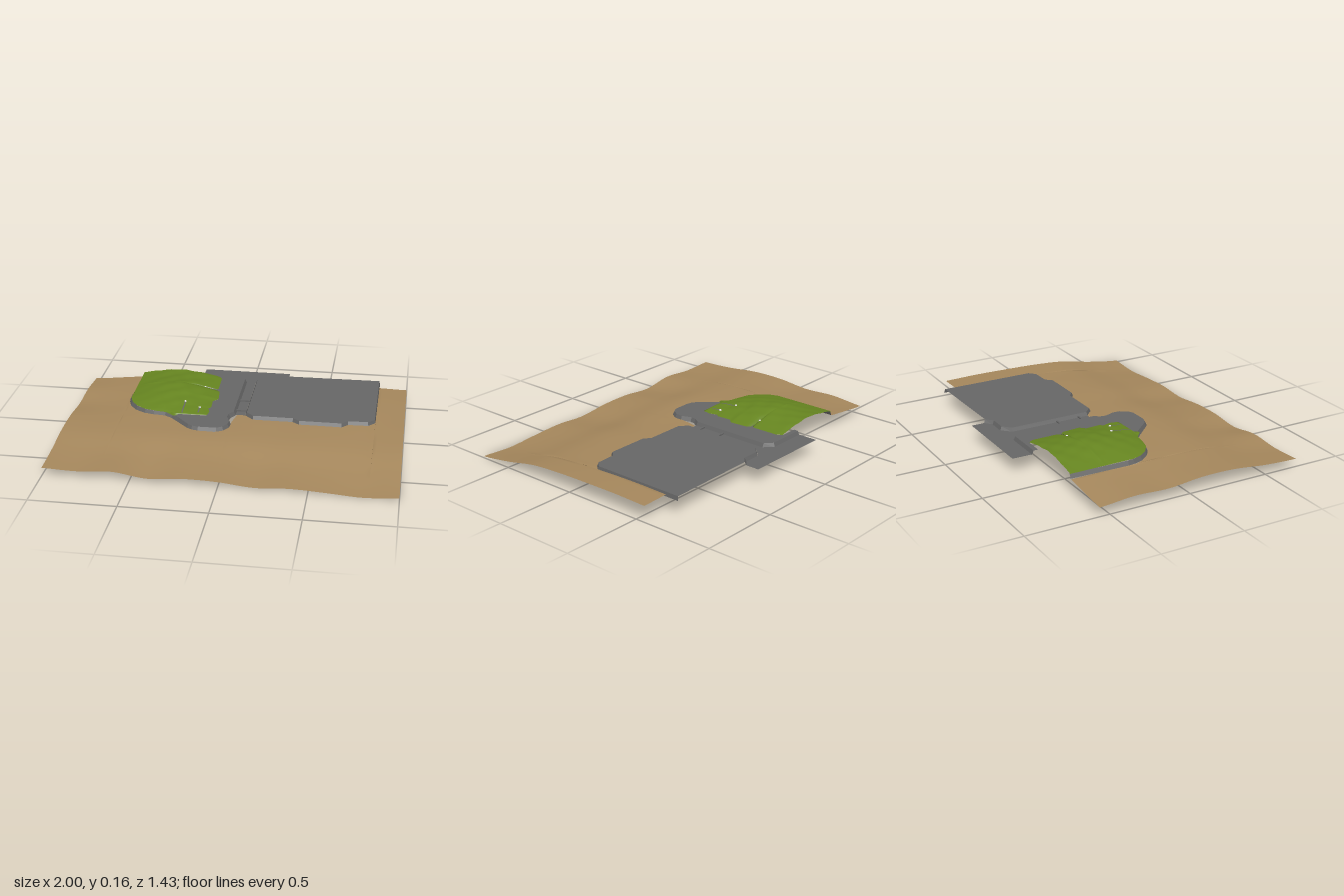
import * as THREE from 'three';

const mat = (name, color) => {
  const m = new THREE.MeshStandardMaterial({ color, side: THREE.DoubleSide });
  m.name = name;
  return m;
};

// piecewise-linear lookup through [key, value] pairs
function lerpTable(table, k) {
  if (k <= table[0][0]) return table[0][1];
  for (let i = 1; i < table.length; i++) {
    const [k0, v0] = table[i - 1], [k1, v1] = table[i];
    if (k <= k1) return v0 + (v1 - v0) * (k - k0) / (k1 - k0);
  }
  return table[table.length - 1][1];
}

// upward-facing surface from a grid of points; i runs along x, j along z
function gridSurface(ni, nj, point) {
  const pos = [], idx = [];
  for (let i = 0; i <= ni; i++) for (let j = 0; j <= nj; j++) pos.push(...point(i, j));
  for (let i = 0; i < ni; i++) for (let j = 0; j < nj; j++) {
    const a = i * (nj + 1) + j, c = a + nj + 1;
    idx.push(a, a + 1, c, c, a + 1, c + 1);
  }
  const g = new THREE.BufferGeometry();
  g.setAttribute('position', new THREE.Float32BufferAttribute(pos, 3));
  g.setIndex(idx);
  g.computeVertexNormals();
  return g;
}

// flat horizontal plate from [x, z] points
function plate(points, y) {
  const s = new THREE.Shape(points.map(([x, z]) => new THREE.Vector2(x, -z)));
  return new THREE.ShapeGeometry(s).rotateX(-Math.PI / 2).translate(0, y, 0);
}

// move an open path inwards by d
function inset(path, d) {
  return path.map((p, i) => {
    const a = path[Math.max(i - 1, 0)], b = path[Math.min(i + 1, path.length - 1)];
    const dx = b[0] - a[0], dz = b[1] - a[1], l = Math.hypot(dx, dz);
    return [p[0] - dz / l * d, p[1] + dx / l * d];
  });
}

// sloping band between an upper and a lower path
function skirt(top, bottom, yTop, yBottom) {
  const pos = [];
  for (let i = 0; i < top.length - 1; i++) {
    const a = [top[i][0], yTop, top[i][1]], b = [top[i + 1][0], yTop, top[i + 1][1]];
    const c = [bottom[i][0], yBottom, bottom[i][1]], d = [bottom[i + 1][0], yBottom, bottom[i + 1][1]];
    pos.push(...a, ...b, ...c, ...b, ...d, ...c);
  }
  const g = new THREE.BufferGeometry();
  g.setAttribute('position', new THREE.Float32BufferAttribute(pos, 3));
  g.computeVertexNormals();
  return g;
}

// ground heights, rows from back to front, columns from x = -1 to 1
const HEIGHTS = [
  [.055, .075, .096, .098, .097, .095, .095, .095, .097, .102, .098],
  [.072, .080, .096, .097, .096, .095, .095, .096, .098, .104, .102],
  [.065, .076, .093, .095, .095, .095, .095, .095, .097, .100, .100],
  [.084, .084, .093, .095, .095, .094, .092, .094, .093, .090, .095],
  [.082, .082, .086, .090, .091, .086, .078, .082, .077, .072, .080],
  [.060, .056, .060, .050, .058, .050, .034, .042, .036, .030, .040],
  [.050, .043, .055, .027, .041, .036, .016, .025, .015, .002, .012],
];
function cubic(v, t) {
  const n = v.length - 1, i = Math.min(Math.floor(t), n - 1), f = t - i;
  const a = v[Math.max(i - 1, 0)], b = v[i], c = v[i + 1], d = v[Math.min(i + 2, n)];
  return b + 0.5 * f * (c - a + f * (2 * a - 5 * b + 4 * c - d + f * (3 * (b - c) + d - a)));
}
const groundHeight = (x, z) =>
  Math.max(0, cubic(HEIGHTS.map(r => cubic(r, (x + 1) * 5)), (z + 0.56) / 1.27 * 6));

// back limit of the sand: it stops where the slabs begin
const SAND_EDGE = [
  [-1, -.56], [-.686, -.56], [-.685, -.16], [-.665, -.10], [-.62, -.04], [-.56, .0], [-.5, .015],
  [-.43, .022], [-.39, .045], [-.345, .09], [-.27, .17], [-.235, .192], [-.19, .2], [-.1, .2], [-.06, .18],
  [-.025, .12], [-.02, .05], [0, -.05], [.05, -.05], [.1, 0], [.34, 0], [.38, .03], [.635, .03],
  [.67, -.005], [.79, -.01], [.829, -.05], [.83, -.56], [1, -.56],
];

export function createModel() {
  const model = new THREE.Group();
  const sand = mat('sand', 0xa5875c), concrete = mat('concrete', 0x666666);
  const grass = mat('grass', 0x668520), white = mat('white', 0xe8e8e8);
  const add = (name, geometry, material, parent = model) => {
    const m = new THREE.Mesh(geometry, material);
    m.name = name;
    parent.add(m);
    return m;
  };

  // rolling sand
  const xs = SAND_EDGE.map(p => p[0]);
  for (let i = 1; i < 80; i++) {
    const x = -1 + i / 40;
    if (xs.every(v => Math.abs(v - x) > 0.006)) xs.push(x);
  }
  xs.sort((a, b) => a - b);
  add('sandGround', gridSurface(xs.length - 1, 44, (i, j) => {
    const x = xs[i], z0 = lerpTable(SAND_EDGE, x), z = z0 + (0.71 - z0) * j / 44;
    return [x, groundHeight(x, z), z];
  }), sand);

  // grass outline: left and right limits for each z
  const grassLeft = [[-.56, -.678], [-.16, -.675], [-.1, -.655], [-.05, -.615], [-.01, -.56], [.01, -.48],
    [.02, -.42], [.06, -.375]];
  const grassRight = [[-.56, -.19], [-.53, -.168], [-.37, -.165], [-.35, -.175], [-.345, -.23], [-.34, -.165],
    [-.32, -.15], [-.21, -.14], [-.18, -.17], [-.09, -.165], [-.07, -.18], [-.02, -.165], [.03, -.175],
    [.032, -.34], [.06, -.36]];
  const rise = [[-.56, .034], [-.45, .036], [-.3, .047], [-.2, .04], [-.1, .027], [0, .01], [.06, 0]];

  // concrete slabs: open plates with sloping skirts
  const TOP = 0.115, LOW = 0.09;
  const leftSlab = new THREE.Group(), rightSlab = new THREE.Group();
  leftSlab.name = 'planterSlab';
  rightSlab.name = 'mainSlab';
  model.add(leftSlab, rightSlab);

  const leftPath = [[-.3, -.6], [-.065, -.6], [-.01, -.55], [-.01, -.05], [-.035, -.01], [-.04, .02], [-.018, .08],
    [-.022, .13], [-.05, .175], [-.09, .198], [-.2, .2], [-.24, .19], [-.27, .17], [-.345, .085], [-.385, .045],
    [-.43, .025], [-.5, .015], [-.56, 0], [-.62, -.04], [-.665, -.1], [-.685, -.16], [-.69, -.2], [-.682, -.56]];
  const leftTop = inset(leftPath, 0.012);
  add('planterSkirt', skirt(leftTop, leftPath, TOP, LOW), concrete, leftSlab);
  const around = leftTop.slice(0, 15);
  const inner = [...grassRight].reverse().map(([z, x]) => [x - 0.004, z]);
  add('planterTop', plate([...around, ...inner, [-.3, -.56]], TOP), concrete, leftSlab);

  const rightPath = [[.83, -.645], [.83, -.05], [.79, -.008], [.67, -.003], [.635, .034], [.38, .034], [.34, .003],
    [.1, .003], [.046, -.05], [.046, -.55], [.1, -.605], [.205, -.605], [.247, -.64]];
  const rightTop = inset(rightPath, 0.012);
  rightTop[0] = [.825, -.64];
  rightTop[1] = [.825, -.055];
  add('mainSkirt', skirt(rightTop, rightPath, TOP, LOW), concrete, rightSlab);
  add('mainTop', plate(rightTop, TOP), concrete, rightSlab);

  // low road between the slabs, widening at the back
  add('road', plate([[-.3, -.72], [.247, -.72], [.247, -.64], [.205, -.605], [.1, -.605], [.046, -.55], [.046, -.05],
    [-.01, -.05], [-.01, -.55], [-.065, -.6], [-.3, -.6]], LOW + 0.004), concrete);
  for (const z of [-.255, -.11]) {
    add('roadSill', new THREE.BoxGeometry(.064, .008, .012).translate(.018, LOW + .008, z), concrete);
  }

  // bumpy grass mound
  const grassHeight = (x, z) => {
    const l = lerpTable(grassLeft, z), r = lerpTable(grassRight, z);
    const s = Math.sin(Math.PI * THREE.MathUtils.clamp((x - l) / (r - l), 0, 1));
    const bumps = 0.0035 * Math.sin(x * 44 + z * 9) * Math.sin(z * 40 - x * 14);
    const fade = THREE.MathUtils.clamp((0.06 - z) * 8, 0, 1);
    return TOP + 0.002 + Math.max(0, s * (lerpTable(rise, z) + bumps * fade));
  };
  const zs = [...new Set([...grassRight, ...grassLeft].map(p => p[0]))];
  for (let z = -.54; z < .03; z += .02) if (zs.every(v => Math.abs(v - z) > .004)) zs.push(z);
  zs.sort((a, b) => a - b);
  add('grassMound', gridSurface(30, zs.length - 1, (i, j) => {
    const z = zs[j], l = lerpTable(grassLeft, z), r = lerpTable(grassRight, z), x = l + (r - l) * i / 30;
    return [x, grassHeight(x, z), z];
  }), grass);

  // narrow paths cut into the grass, each ending in a small white post
  const paths = [[[-.325, -.1], [-.325, .03]], [[-.23, -.055], [-.23, .01]], [[-.245, -.348], [-.16, -.348]]];
  for (const [[x0, z0], [x1, z1]] of paths) {
    const px = x0 === x1 ? .004 : 0, pz = .004 - px;
    add('grassPath', gridSurface(x0 === x1 ? 1 : 8, x0 === x1 ? 8 : 1, (i, j) => {
      const x = x0 === x1 ? x0 - px + 2 * px * i : x0 + (x1 - x0) * i / 8;
      const z = x0 === x1 ? z0 + (z1 - z0) * j / 8 : z0 - pz + 2 * pz * j;
      return [x, grassHeight(x, z) + .002, z];
    }), concrete);
    add('post', new THREE.CylinderGeometry(.007, .007, .016, 10)
      .translate(x0, grassHeight(x0, z0) - .002, z0), white);
  }
  return model;
}
